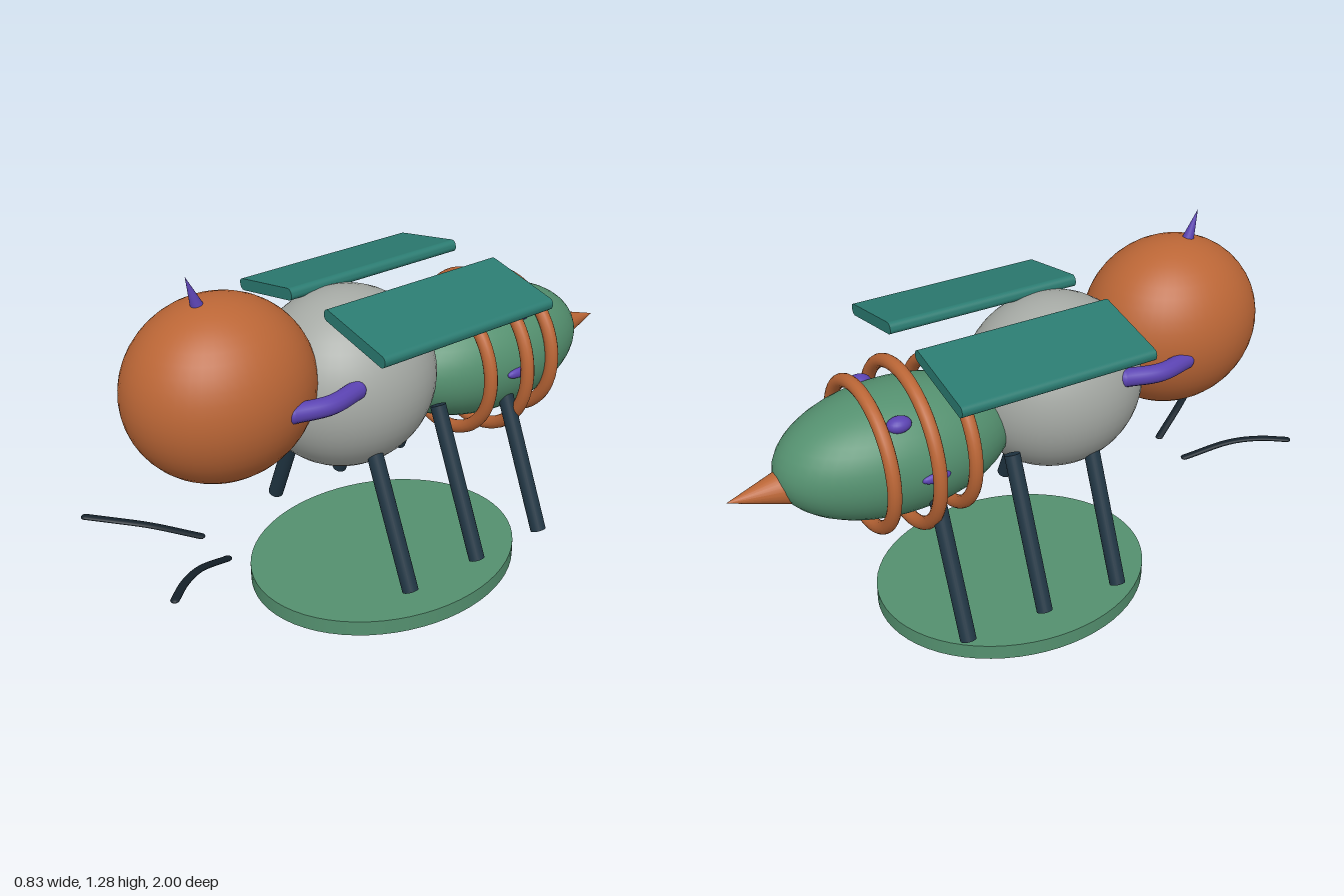
import * as THREE from 'three';

const mat = (name, color) => Object.assign(new THREE.MeshStandardMaterial({ color }), { name });
const V = (x, y, z) => new THREE.Vector3(x, y, z);

export function createModel() {
  const root = new THREE.Group();
  root.name = 'bee';
  const orange = mat('burnt orange', 0xbb6636);
  const grey = mat('warm grey', 0xa6aaa5);
  const green = mat('leaf green', 0x54906f);
  const teal = mat('teal', 0x2b7b71);
  const navy = mat('dark navy', 0x213644);
  const purple = mat('violet', 0x5b43b2);
  const black = mat('blue black', 0x15212a);

  const add = (name, geo, material, pos = V(0, 0, 0)) => {
    const m = new THREE.Mesh(geo, material);
    m.name = name;
    m.position.copy(pos);
    root.add(m);
    return m;
  };
  const ellipsoid = (name, material, pos, rx, ry, rz, seg = 48) =>
    add(name, new THREE.SphereGeometry(1, seg, seg / 2), material, pos).scale.set(rx, ry, rz);
  // Cylinder or cone running from a to b
  const rod = (name, material, a, b, ra, rb, seg = 24) => {
    const d = b.clone().sub(a);
    const m = add(name, new THREE.CylinderGeometry(rb, ra, d.length(), seg), material,
      a.clone().add(b).multiplyScalar(0.5));
    m.quaternion.setFromUnitVectors(V(0, 1, 0), d.normalize());
  };
  // Curved tube with rounded ends, optionally flattened in y
  const roundedTube = (name, material, points, r, flat = 1) => {
    const g = new THREE.Group();
    g.name = name;
    g.scale.y = flat;
    const pts = points.map(p => V(p.x, p.y / flat, p.z));
    g.add(new THREE.Mesh(new THREE.TubeGeometry(new THREE.CatmullRomCurve3(pts), 24, r, 14), material));
    for (const p of [pts[0], pts[pts.length - 1]]) {
      const cap = new THREE.Mesh(new THREE.SphereGeometry(r, 14, 10), material);
      cap.position.copy(p);
      g.add(cap);
    }
    g.children.forEach((c, i) => { c.name = i ? name + 'End' : name + 'Tube'; });
    root.add(g);
  };

  // Oval base
  add('base', new THREE.CylinderGeometry(1, 1, 0.055, 64), green, V(0, 0.0275, 0)).scale.set(0.417, 1, 0.497);

  // Body
  ellipsoid('head', orange, V(0, 0.895, 0.632), 0.272, 0.295, 0.312);
  ellipsoid('thorax', grey, V(0, 0.79, 0.16), 0.287, 0.3, 0.31);
  ellipsoid('abdomen', green, V(0, 0.716, -0.43), 0.237, 0.217, 0.41);
  for (const [z, r] of [[-0.265, 0.243], [-0.405, 0.272], [-0.547, 0.243]])
    add('abdomenRing', new THREE.TorusGeometry(r, 0.023, 14, 56), orange, V(0, 0.715, z));
  rod('stinger', orange, V(0, 0.685, -0.79), V(0, 0.685, -1), 0.066, 0);
  rod('headHorn', purple, V(0, 1.165, 0.685), V(0, 1.278, 0.722), 0.023, 0);

  // Wing cross-section with rounded corners
  const w = 0.153, h = 0.02, r = 0.018;
  const wing = new THREE.Shape();
  wing.absarc(w - r, h - r, r, 0, Math.PI / 2);
  wing.absarc(-w + r, h - r, r, Math.PI / 2, Math.PI);
  wing.absarc(-w + r, -h + r, r, Math.PI, Math.PI * 1.5);
  wing.absarc(w - r, -h + r, r, Math.PI * 1.5, Math.PI * 2);
  const wingGeo = new THREE.ExtrudeGeometry(wing, { depth: 0.685, bevelEnabled: false, curveSegments: 6 });

  // Paired parts
  for (const s of [1, -1]) {
    const side = s > 0 ? 'left' : 'right';
    add(side + 'Wing', wingGeo, teal, V(s * 0.237, 1.048, -0.385)).rotation.z = -s * 0.2;
    for (const z of [0.195, -0.095, -0.383])
      rod(side + 'Leg', navy, V(s * 0.172, 0.665, z), V(s * 0.389, 0.165, z), 0.027, 0.027);
    roundedTube(side + 'Arm', purple,
      [V(s * 0.235, 0.87, 0.29), V(s * 0.264, 0.87, 0.41), V(s * 0.238, 0.87, 0.53)], 0.031);
    roundedTube(side + 'Feeler', black,
      [V(s * 0.08, 0.337, 0.69), V(s * 0.155, 0.4, 0.835), V(s * 0.215, 0.421, 0.92), V(s * 0.28, 0.43, 0.99)], 0.014, 0.5);
    ellipsoid(side + 'UpperSpot', purple, V(s * 0.147, 0.885, -0.478), 0.031, 0.026, 0.041, 24);
    ellipsoid(side + 'SideSpot', purple, V(s * 0.235, 0.716, -0.4), 0.015, 0.018, 0.05, 24);
  }
  return root;
}
